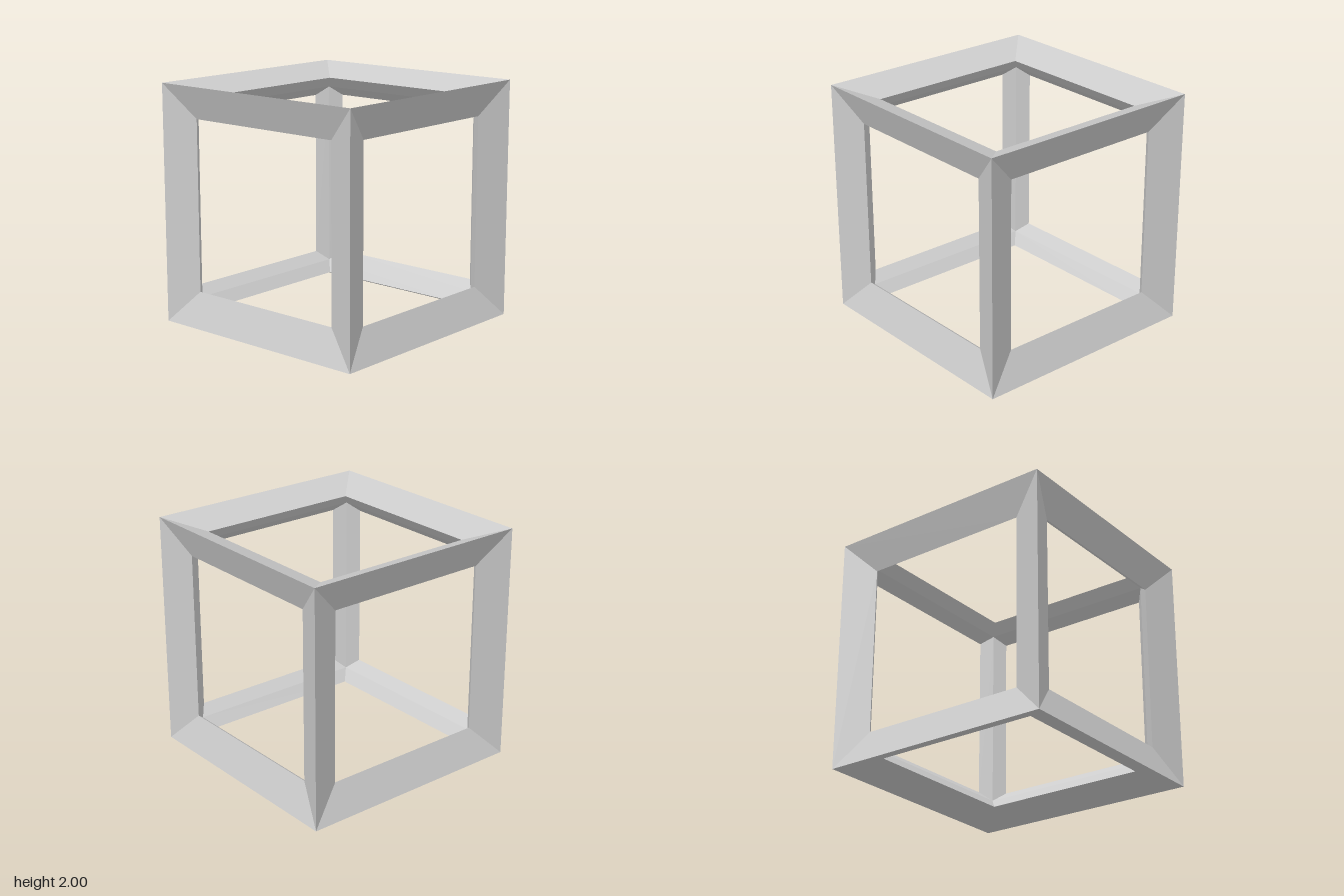
import * as THREE from 'three';

const HALF = 1;       // outer corner of the cube
const OPENING = 0.72; // half width of each square window
const RIM = 0.89;     // depth of the window rim, set in from the outer face
const RIDGE = 0.797;  // shallow ridge along the inside of each beam

// One upright beam at the +x +z edge, with mitred ends that meet its neighbours.
// Each section point is [x, z, half length].
function beamGeometry() {
  const section = [
    [HALF, HALF, HALF],
    [OPENING, RIM, OPENING],
    [RIDGE, RIDGE, RIDGE],
    [RIM, OPENING, OPENING],
  ];
  const positions = [];
  section.forEach((a, i) => {
    const b = section[(i + 1) % section.length];
    const a0 = [a[0], -a[2], a[1]], a1 = [a[0], a[2], a[1]];
    const b0 = [b[0], -b[2], b[1]], b1 = [b[0], b[2], b[1]];
    positions.push(...b0, ...a0, ...a1, ...b0, ...a1, ...b1);
  });
  const geometry = new THREE.BufferGeometry();
  geometry.setAttribute('position', new THREE.Float32BufferAttribute(positions, 3));
  geometry.computeVertexNormals();
  return geometry;
}

export function createModel() {
  const model = new THREE.Group();
  model.name = 'cubeFrame';
  const material = new THREE.MeshStandardMaterial({ color: 0xcccccc, flatShading: true });
  const geometry = beamGeometry();

  // Four parallel beams along each axis
  const sets = [
    ['uprightBeams', 0, 0],
    ['depthBeams', Math.PI / 2, 0],
    ['crossBeams', 0, Math.PI / 2],
  ];
  for (const [name, rx, rz] of sets) {
    const group = new THREE.Group();
    group.name = name;
    for (let i = 0; i < 4; i++) {
      const beam = new THREE.Mesh(geometry, material);
      beam.name = 'beam';
      beam.rotation.y = i * Math.PI / 2;
      group.add(beam);
    }
    group.rotation.set(rx, 0, rz);
    group.position.y = HALF;
    model.add(group);
  }
  return model;
}
